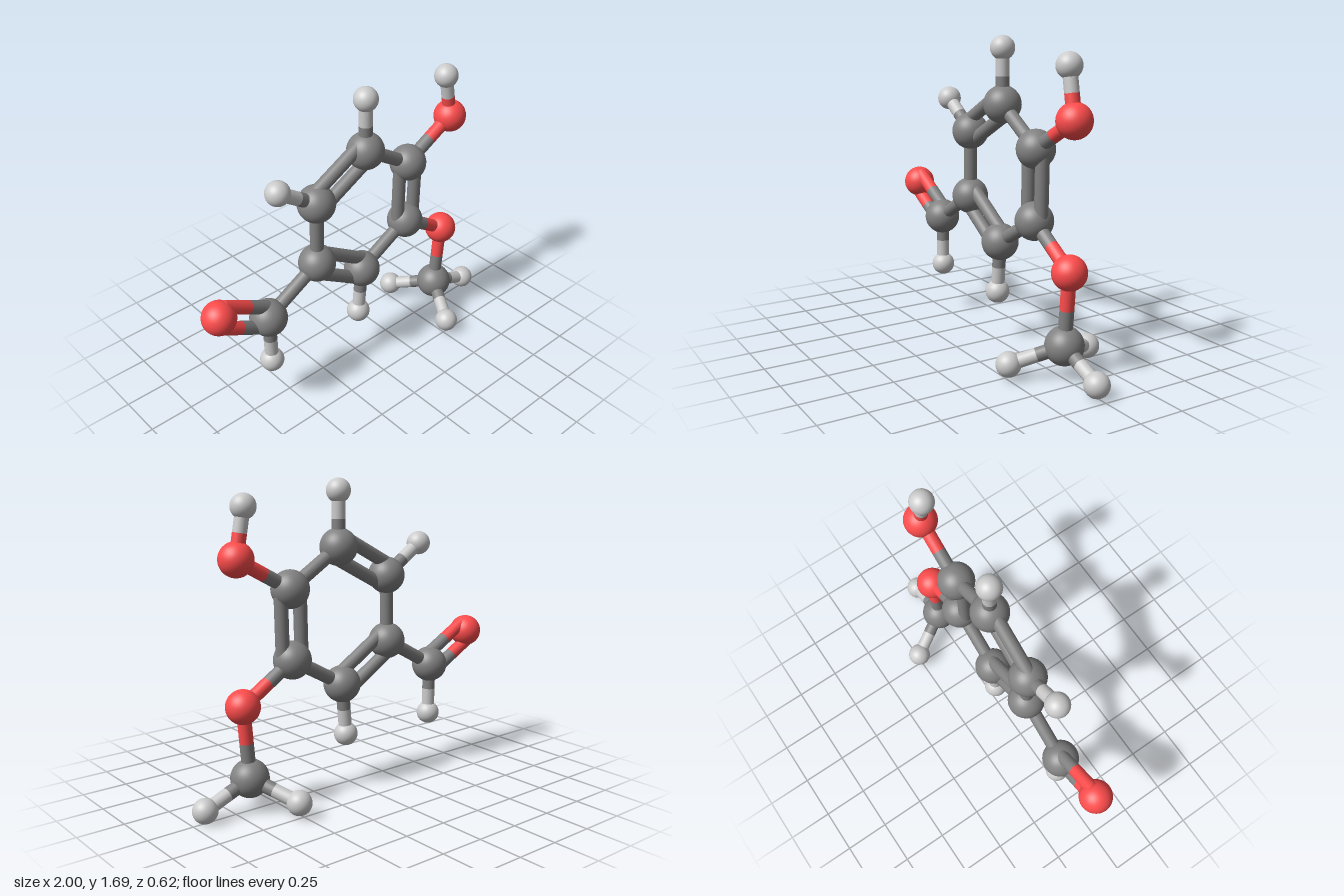
import * as THREE from 'three';

// Element styles: colour and ball radius
const ELEMENTS = {
  C: { name: 'carbon', color: 0x828282, radius: 0.102 },
  O: { name: 'oxygen', color: 0xff4c4c, radius: 0.091 },
  H: { name: 'hydrogen', color: 0xcccccc, radius: 0.066 },
};

// Atoms: element, x, y, z
const ATOMS = {
  ring1: ['C', -0.273, 0.778, 0],
  ring2: ['C', 0.05, 0.578, 0],
  ring3: ['C', 0.382, 0.762, 0],
  ring4: ['C', 0.39, 1.137, 0],
  ring5: ['C', 0.072, 1.332, 0],
  ring6: ['C', -0.267, 1.15, 0],
  ringH2: ['H', 0.024, 0.288, 0],
  ringH5: ['H', 0.072, 1.628, 0],
  ringH6: ['H', -0.508, 1.313, 0],
  aldehydeC: ['C', -0.612, 0.588, 0],
  aldehydeO: ['O', -0.911, 0.752, 0],
  aldehydeH: ['H', -0.607, 0.292, 0],
  hydroxylO: ['O', 0.711, 1.315, 0],
  hydroxylH: ['H', 0.663, 1.572, 0],
  etherO: ['O', 0.692, 0.565, 0],
  methylC: ['C', 0.66, 0.178, 0],
  methylH1: ['H', 0.929, 0.068, 0],
  methylH2: ['H', 0.524, 0.084, 0.245],
  methylH3: ['H', 0.524, 0.084, -0.245],
};

// Bonds: from, to, order
const BONDS = [
  ['ring1', 'ring2', 2], ['ring2', 'ring3', 1], ['ring3', 'ring4', 2],
  ['ring4', 'ring5', 1], ['ring5', 'ring6', 2], ['ring6', 'ring1', 1],
  ['ring2', 'ringH2', 1], ['ring5', 'ringH5', 1], ['ring6', 'ringH6', 1],
  ['ring1', 'aldehydeC', 1], ['aldehydeC', 'aldehydeO', 2], ['aldehydeC', 'aldehydeH', 1],
  ['ring4', 'hydroxylO', 1], ['hydroxylO', 'hydroxylH', 1],
  ['ring3', 'etherO', 1], ['etherO', 'methylC', 1],
  ['methylC', 'methylH1', 1], ['methylC', 'methylH2', 1], ['methylC', 'methylH3', 1],
];

const BOND_RADIUS = 0.037;
const DOUBLE_OFFSET = 0.06;

export function createModel() {
  const model = new THREE.Group();
  model.name = 'molecule';
  const up = new THREE.Vector3(0, 1, 0);
  const position = (key) => new THREE.Vector3(...ATOMS[key].slice(1));

  const materials = {};
  const balls = {};
  for (const [symbol, { color, radius }] of Object.entries(ELEMENTS)) {
    materials[symbol] = new THREE.MeshStandardMaterial({ color });
    balls[symbol] = new THREE.SphereGeometry(radius, 32, 24);
  }

  // Atom balls
  for (const [key, [symbol]] of Object.entries(ATOMS)) {
    const ball = new THREE.Mesh(balls[symbol], materials[symbol]);
    ball.name = `${key} ${ELEMENTS[symbol].name}Ball`;
    ball.position.copy(position(key));
    model.add(ball);
  }

  // One half of a bond, in the colour of its own atom
  const addRod = (parent, from, to, symbol) => {
    const axis = to.clone().sub(from);
    const rod = new THREE.Mesh(
      new THREE.CylinderGeometry(BOND_RADIUS, BOND_RADIUS, axis.length(), 20), materials[symbol]);
    rod.name = `${ELEMENTS[symbol].name}Rod`;
    rod.position.copy(from).add(to).multiplyScalar(0.5);
    rod.quaternion.setFromUnitVectors(up, axis.normalize());
    parent.add(rod);
  };

  // Bonds; double bonds are two rods side by side in the ring plane
  for (const [a, b, order] of BONDS) {
    const bond = new THREE.Group();
    bond.name = `${a} to ${b} bond`;
    const start = position(a);
    const end = position(b);
    const axis = end.clone().sub(start).normalize();
    const side = new THREE.Vector3(-axis.y, axis.x, 0).normalize();
    for (const offset of order === 2 ? [-DOUBLE_OFFSET, DOUBLE_OFFSET] : [0]) {
      const p = start.clone().addScaledVector(side, offset);
      const q = end.clone().addScaledVector(side, offset);
      const middle = p.clone().lerp(q, 0.5);
      addRod(bond, p, middle, ATOMS[a][0]);
      addRod(bond, middle, q, ATOMS[b][0]);
    }
    model.add(bond);
  }

  return model;
}
